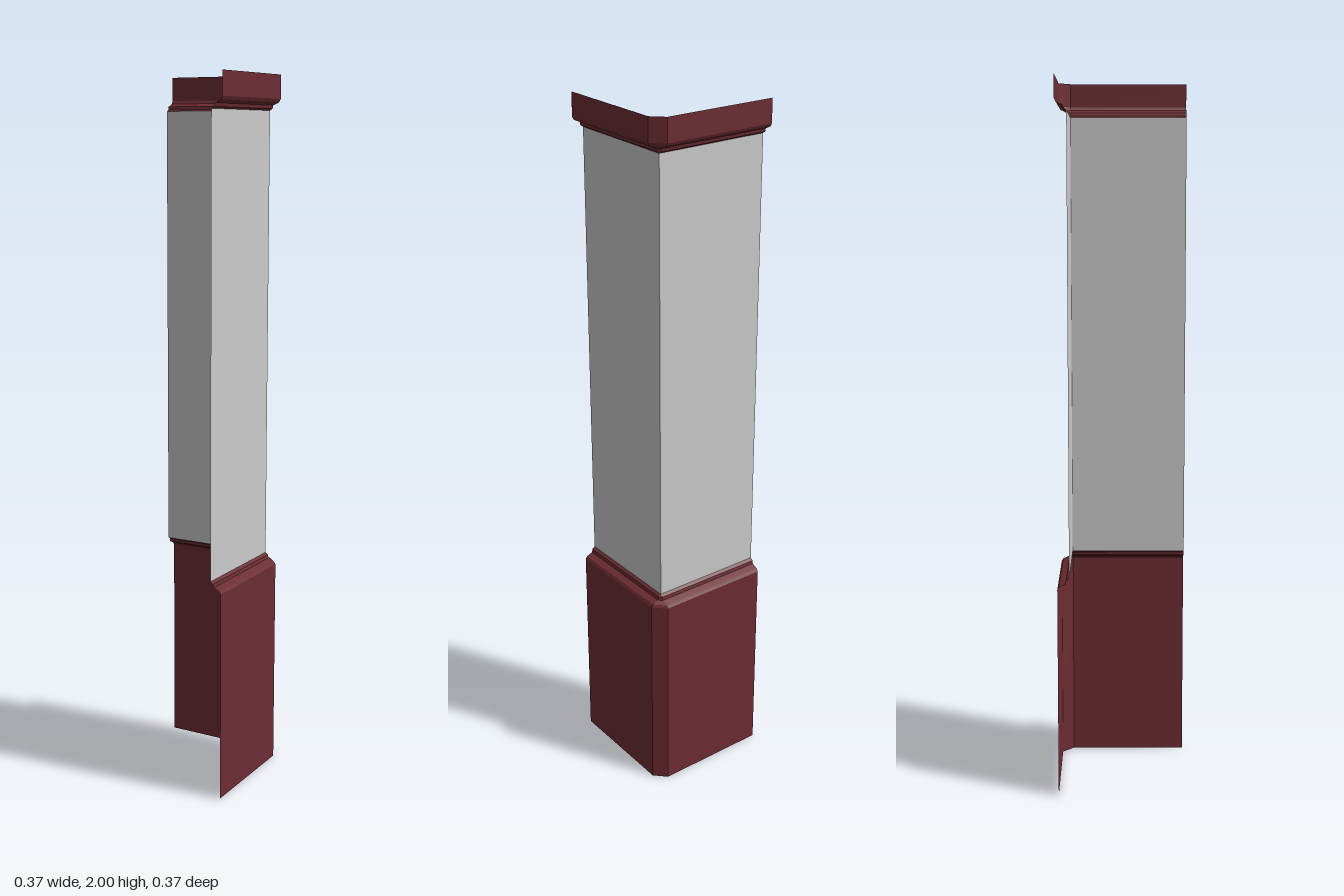
import * as THREE from 'three';

const INNER = 0.15;   // distance of the wall sheets from the centre
const END = 0.183;    // free ends of both wings

// Plan path of the corner, pushed outward by d, with a bevel round the corner
function planPath(d, y) {
  return [
    [-END, y, -INNER - d],
    [INNER, y, -INNER - d],
    [INNER + d, y, -INNER],
    [INNER + d, y, END],
  ].map((p) => new THREE.Vector3(...p));
}

// Sweep a profile of [outward offset, height] points along the corner path
function sweep(name, profile, material) {
  const rows = profile.map(([d, y]) => planPath(d, y));
  const points = [];
  const addTriangle = (a, b, c) => {
    if (new THREE.Triangle(a, b, c).getArea() > 1e-9) points.push(a, b, c);
  };
  for (let i = 0; i < rows.length - 1; i++) {
    for (let j = 0; j < 3; j++) {
      const a = rows[i][j], b = rows[i][j + 1];
      const c = rows[i + 1][j + 1], d = rows[i + 1][j];
      addTriangle(a, d, c);
      addTriangle(a, c, b);
    }
  }
  const geometry = new THREE.BufferGeometry().setFromPoints(points);
  geometry.computeVertexNormals();
  const mesh = new THREE.Mesh(geometry, material);
  mesh.name = name;
  return mesh;
}

export function createModel() {
  const group = new THREE.Group();
  group.name = 'wallCorner';
  const plaster = new THREE.MeshStandardMaterial({
    color: 0xcccccc, side: THREE.DoubleSide, flatShading: true,
  });
  const wood = new THREE.MeshStandardMaterial({
    color: 0x6c2d33, side: THREE.DoubleSide, flatShading: true,
  });

  // Plain sheet between the panelling and the cornice
  group.add(sweep('wall', [[0, 0.632], [0, 1.905]], plaster));

  // Tall lower panelling
  group.add(sweep('wainscot', [[0.033, 0], [0.033, 0.602]], wood));

  // Moulded rail stepping back to the wall
  group.add(sweep('wainscotRail', [
    [0.033, 0.602], [0.028, 0.61], [0.01, 0.618], [0.008, 0.628], [0, 0.634],
  ], wood));

  // Cornice flaring out from the wall, open at the top
  group.add(sweep('cornice', [
    [0, 1.904], [0.008, 1.909], [0.01, 1.918], [0.028, 1.926], [0.033, 1.935], [0.033, 2],
  ], wood));

  return group;
}
